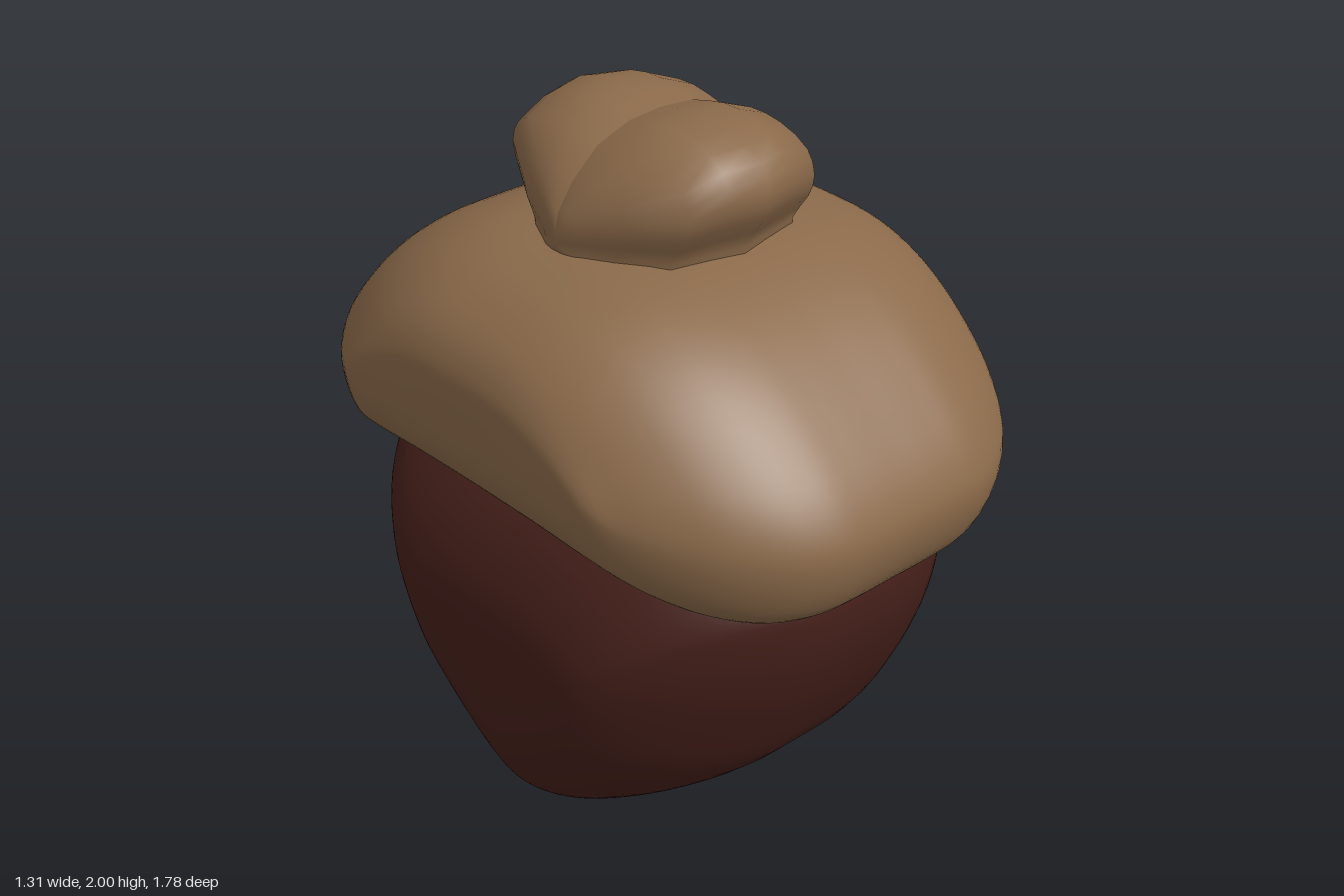
import * as THREE from 'three';

// Repeats a half profile (z, y) from bottom centre to top centre on the other side.
function mirrorProfile(half) {
  return half.concat(half.slice(1, -1).reverse().map(([z, y]) => [-z, y]));
}

// Lofts a z-y profile along x. Each station [x, zScale, yScale] shrinks it about height cy.
function loft(profile, stations, cy, closed, along, around) {
  const all = stations.slice(1).reverse().map(([x, a, b]) => [-x, a, b]).concat(stations);
  const spine = new THREE.CatmullRomCurve3(all.map((s) => new THREE.Vector3(...s)));
  const outline = new THREE.CatmullRomCurve3(
    profile.map(([z, y]) => new THREE.Vector3(0, y, z)), closed);
  const ring = outline.getPoints(around);
  const cols = closed ? around : around + 1;
  if (closed) ring.pop();
  const position = [], index = [];
  for (let i = 0; i <= along; i++) {
    const s = spine.getPoint(i / along);
    const zs = Math.max(s.y, 0), ys = Math.max(s.z, 0);
    for (const p of ring) position.push(s.x, cy + (p.y - cy) * ys, p.z * zs);
  }
  for (let i = 0; i < along; i++) {
    for (let j = 0; j < around; j++) {
      const k = (j + 1) % cols;
      const a = i * cols + j, b = a + cols, c = (i + 1) * cols + k, d = i * cols + k;
      index.push(a, b, c, a, c, d);
    }
  }
  const geo = new THREE.BufferGeometry();
  geo.setAttribute('position', new THREE.Float32BufferAttribute(position, 3));
  geo.setIndex(index);
  geo.computeVertexNormals();
  return geo;
}

export function createModel() {
  const group = new THREE.Group();
  const brown = new THREE.MeshStandardMaterial({ color: 0x8b6a4a });
  const stemBrown = new THREE.MeshStandardMaterial({ color: 0x8b6a4a, side: THREE.DoubleSide });
  const darkBrown = new THREE.MeshStandardMaterial({ color: 0x46201a });

  const add = (name, geo, material) => {
    const mesh = new THREE.Mesh(geo, material);
    mesh.name = name;
    group.add(mesh);
    return mesh;
  };

  // Nut: wedge profile tapering to a rounded ridge at the bottom
  const nutProfile = mirrorProfile([
    [0, 0], [0.06, 0.015], [0.15, 0.06], [0.36, 0.21], [0.56, 0.4], [0.68, 0.61],
    [0.75, 0.79], [0.77, 0.91], [0.76, 1.0], [0.66, 1.1], [0.4, 1.18], [0, 1.2]]);
  const nutStations = [
    [0, 1, 1], [0.12, 0.995, 0.998], [0.23, 0.96, 0.98], [0.34, 0.88, 0.92], [0.45, 0.76, 0.8],
    [0.54, 0.62, 0.62], [0.595, 0.48, 0.4], [0.612, 0.34, 0.22], [0.616, 0, 0]];
  add('nut', loft(nutProfile, nutStations, 0.62, true, 64, 88), darkBrown);

  // Cap: domed, overhanging the nut
  const capProfile = mirrorProfile([
    [0, 1.0], [0.4, 0.995], [0.68, 0.985], [0.78, 0.995], [0.85, 1.06], [0.89, 1.2],
    [0.85, 1.31], [0.746, 1.435], [0.6, 1.56], [0.45, 1.645], [0.28, 1.697], [0, 1.712]]);
  const capStations = [
    [0, 1, 1], [0.12, 1, 1], [0.23, 0.993, 0.99], [0.34, 0.95, 0.955], [0.45, 0.86, 0.86],
    [0.54, 0.74, 0.72], [0.61, 0.61, 0.54], [0.645, 0.52, 0.34], [0.653, 0.42, 0.2],
    [0.655, 0, 0]];
  add('cap', loft(capProfile, capStations, 1.36, true, 72, 88), brown);

  // Stem: two flared, coarser lobes meeting in a crease at z = 0
  const lobeProfile = [
    [0, 1.58], [0.29, 1.6], [0.3, 1.71], [0.36, 1.8], [0.38, 1.87],
    [0.35, 1.94], [0.24, 1.99], [0.12, 2.0], [0, 1.975]];
  const lobeStations = [
    [0, 1, 1], [0.1, 0.93, 0.97], [0.2, 0.86, 0.83], [0.28, 0.48, 0.56],
    [0.325, 0.17, 0.3], [0.335, 0.04, 0.12], [0.335, 0, 0]];
  const lobe = loft(lobeProfile, lobeStations, 1.72, false, 12, 16);
  add('frontStemLobe', lobe, stemBrown);
  add('backStemLobe', lobe, stemBrown).rotation.y = Math.PI;

  return group;
}
